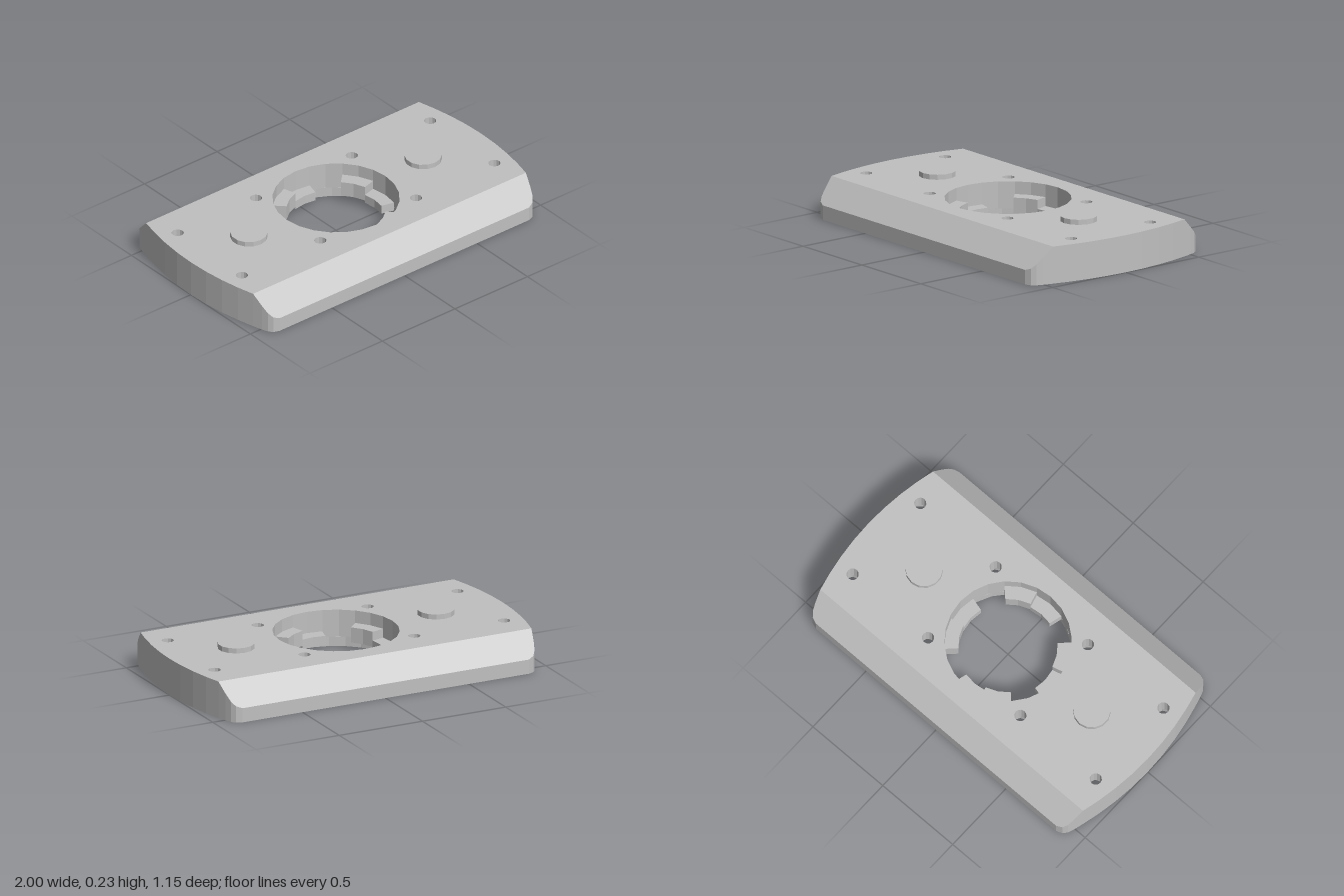
import * as THREE from 'three';

const TOP = 0.205, RECESS = 0.055, POCKET = 0.1, BORE_R = 0.34;
const rad = THREE.MathUtils.degToRad;
// All plan points are [x, z]
const polar = (r, deg, cx = 0, cz = 0) => [cx + r * Math.cos(rad(deg)), cz + r * Math.sin(rad(deg))];
const arc = (r, a, b, n, cx = 0, cz = 0) =>
  Array.from({ length: n + 1 }, (_, i) => polar(r, a + ((b - a) * i) / n, cx, cz));
const circle = (r, n, cx = 0, cz = 0) => arc(r, 0, 360, n, cx, cz).slice(0, n);
const sector = (r0, r1, a, b, n) => [...arc(r1, a, b, n), ...arc(r0, b, a, n)];

export function createModel() {
  const group = new THREE.Group();
  const grey = new THREE.MeshStandardMaterial({ color: 0xc0c0c0, side: THREE.DoubleSide });
  grey.name = 'plain grey';

  const add = (name, geometry) => {
    const mesh = new THREE.Mesh(geometry, grey);
    mesh.name = name;
    group.add(mesh);
    return mesh;
  };

  // Flat or sloped sheet; height may depend on z
  function sheet(name, outline, holes, height, faceUp) {
    const s = faceUp ? -1 : 1;
    const vec = (pts) => pts.map(([x, z]) => new THREE.Vector2(x, z * s));
    const shape = new THREE.Shape(vec(outline));
    shape.holes = holes.map((h) => new THREE.Path(vec(h)));
    const g = new THREE.ShapeGeometry(shape).rotateX((s * Math.PI) / 2);
    const p = g.attributes.position;
    for (let i = 0; i < p.count; i++) p.setY(i, height(p.getZ(i)));
    g.computeVertexNormals();
    add(name, g);
  }

  // Upright wall around a closed loop
  function wall(name, loop, y0, height, inward) {
    const pts = inward ? [...loop].reverse() : loop;
    const v = [];
    pts.forEach(([ax, az], i) => {
      const [bx, bz] = pts[(i + 1) % pts.length];
      const ay = height(az), by = height(bz);
      v.push(ax, y0, az, ax, ay, az, bx, by, bz, ax, y0, az, bx, by, bz, bx, y0, bz);
    });
    const g = new THREE.BufferGeometry();
    g.setAttribute('position', new THREE.Float32BufferAttribute(v, 3));
    g.computeVertexNormals();
    add(name, g);
  }
  const at = (y) => () => y;

  // Plan outline: bowed ends with rounded corners
  const bowed = [0, 0.12, 0.24, 0.35, 0.45].map((z) => [1 - 0.06 * (z / 0.45) ** 2, z]);
  const corner = [[0.925, 0.505], [0.912, 0.54], [0.893, 0.563], [0.86, 0.575]];
  const mirrorX = (pts) => pts.map(([x, z]) => [-x, z]).reverse();
  const mirrorZ = (pts) => pts.map(([x, z]) => [x, -z]).reverse();
  const fullLoop = (quarter) => {
    const half = [...quarter, ...mirrorX(quarter).slice(0, -1)];
    return [...half, [-1, 0], ...mirrorZ(half).slice(0, -1)];
  };
  const outline = fullLoop([...bowed, ...corner]);
  const deckOutline = fullLoop(bowed);
  const slope = (z) => Math.min(TOP, 0.08 + 0.575 - Math.abs(z));

  // Screw positions and the four-pointed recess on each side
  const screws = [];
  const bays = [-0.6, 0.6].map((cx) => {
    const loop = [], pockets = [];
    for (let k = 0; k < 4; k++) {
      const point = (j) => polar(0.27 * Math.SQRT2, 45 + 90 * j, cx);
      const [x, z] = point(k), d = 45 + 90 * k;
      screws.push([x, z]);
      pockets.push([x, z]);
      const tip = arc(0.06, d - 130, d + 130, 7, x, z);
      const next = polar(0.06, d + 90 - 130, ...point(k + 1));
      const curve = new THREE.QuadraticBezierCurve(
        new THREE.Vector2(...tip[7]),
        new THREE.Vector2(...polar(0.03, 90 * (k + 1), cx)),
        new THREE.Vector2(...next));
      loop.push(...tip, ...curve.getPoints(10).slice(1, -1).map((p) => [p.x, p.y]));
    }
    return { loop, pockets };
  });

  // Central bore, widened at the underside by two arc grooves
  const bore = circle(BORE_R, 24);
  const grooves = [48, 228];
  const lowerBore = [];
  for (const g of grooves) {
    lowerBore.push(...arc(0.405, g, g + 34, 5), ...arc(BORE_R, g + 34, g + 180, 10));
    sheet('grooveCeiling', sector(BORE_R - 0.003, 0.405, g, g + 34, 5), [], at(RECESS), false);
  }

  // Plate skin
  wall('plateSide', outline, 0, slope, false);
  sheet('plateDeck', deckOutline, [bore, ...screws.map(([x, z]) => circle(0.033, 12, x, z))], at(TOP), true);
  const bevel = [bowed[4], ...corner];
  const bevelLoop = [...bevel, ...mirrorX(bevel)];
  sheet('frontBevel', bevelLoop, [], slope, true);
  sheet('backBevel', mirrorZ(bevelLoop), [], slope, true);
  sheet('plateUnderside', outline, [lowerBore, ...bays.map((b) => b.loop)], at(0), false);
  wall('boreWall', bore, RECESS, at(TOP), true);
  wall('lowerBoreWall', lowerBore, 0, at(RECESS), true);

  // Underside recesses
  for (const { loop, pockets } of bays) {
    wall('recessWall', loop, 0, at(RECESS), true);
    sheet('recessCeiling', loop, pockets.map(([x, z]) => circle(0.05, 8, x, z)), at(RECESS), false);
  }

  // Stepped screw holes
  for (const [x, z] of screws) {
    const pocket = circle(0.05, 8, x, z), hole = circle(0.033, 12, x, z);
    wall('screwPocketWall', pocket, RECESS, at(POCKET), true);
    sheet('screwSeat', pocket, [hole], at(POCKET), false);
    wall('screwHoleWall', hole, POCKET, at(TOP), true);
  }

  // Four stepped locking tabs inside the bore
  const tab = (name, a, y0, y1) => {
    const shape = new THREE.Shape(sector(0.265, BORE_R, a, a + 30, 2).map((p) => new THREE.Vector2(...p)));
    const g = new THREE.ExtrudeGeometry(shape, { depth: y1 - y0, bevelEnabled: false });
    add(name, g.rotateX(Math.PI / 2)).position.y = y1;
  };
  for (let k = 0; k < 4; k++) {
    tab('tabStop', 45 + 90 * k, 0.05, 0.135);
    tab('tabLedge', 75 + 90 * k, 0.035, 0.085);
  }

  // Raised round pads
  for (const x of [-0.6, 0.6]) {
    const g = new THREE.CylinderGeometry(0.1, 0.1, 0.028, 14).toNonIndexed();
    g.computeVertexNormals();
    add('roundPad', g).position.set(x, TOP + 0.014, 0);
  }
  return group;
}
